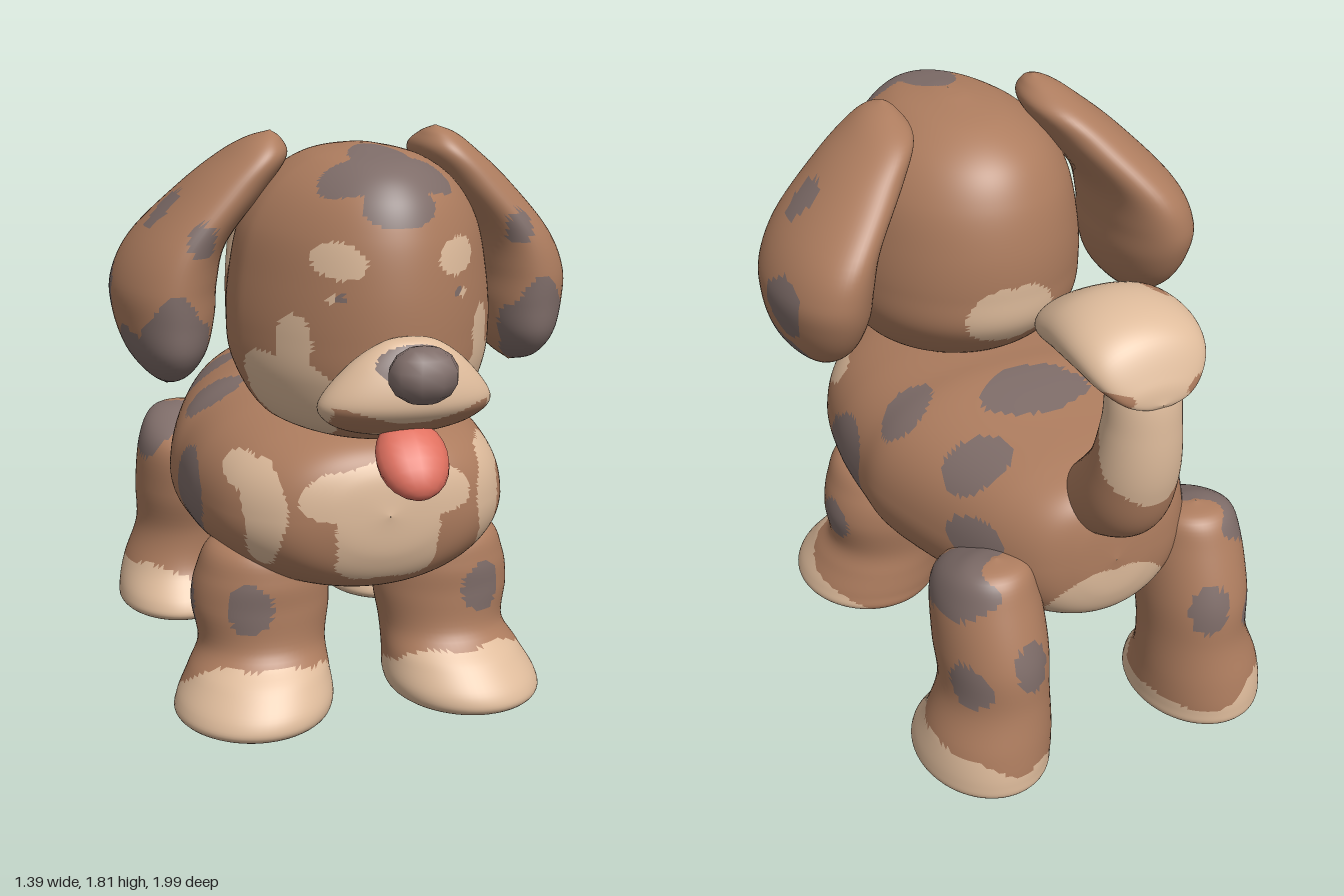
import * as THREE from 'three';

const mat = (name, color) => {
  const m = new THREE.MeshStandardMaterial({ color });
  m.name = name;
  return m;
};
const coat = [mat('brown fur', 0xae7d5f), mat('tan fur', 0xdfbc9c), mat('grey fur', 0x7f6d69)];
const pink = mat('tongue pink', 0xe0705f);
const BROWN = 0, TAN = 1, GREY = 2;

// Gentle waviness that keeps patch edges irregular
const wobble = (x, y, z) => Math.sin(27 * x + 9 * y) * 0.4 + Math.sin(33 * y + 13 * z) * 0.4 + Math.sin(29 * z - 17 * x) * 0.4;

// Patch rule: spots are [colour, x, y, z, rx, ry, rz], mirrored in x
const spots = (list, base = () => BROWN) => (x, y, z) => {
  const ax = Math.abs(x);
  for (const [c, sx, sy, sz, rx, ry, rz] of list) {
    const d = ((ax - sx) / rx) ** 2 + ((y - sy) / ry) ** 2 + ((z - sz) / rz) ** 2;
    if (d < 1 + 0.28 * wobble(ax, y, z)) return c;
  }
  return base(x, y, z);
};

// Smooth loft through rows [x, y, z, radius in x, other radius, tilt in degrees].
// Tilt 0 gives upright sections, tilt 90 gives level sections; power below 1 squares the upper half.
function loft(rows, { tilt = 90, side = 1, steps = 60, ring = 64, power = 1, warp } = {}) {
  const path = new THREE.CatmullRomCurve3(rows.map(r => new THREE.Vector3(r[0], r[1], r[2])), false, 'catmullrom');
  const size = new THREE.CatmullRomCurve3(rows.map(r => new THREE.Vector3(r[3], r[4], r[5] ?? tilt)), false, 'catmullrom');
  const pos = [], idx = [], p = new THREE.Vector3(), s = new THREE.Vector3();
  for (let i = 0; i <= steps; i++) {
    path.getPoint(i / steps, p);
    size.getPoint(i / steps, s);
    const t = THREE.MathUtils.degToRad(s.z);
    for (let j = 0; j < ring; j++) {
      const a = j / ring * Math.PI * 2, c = Math.cos(a), h = Math.sin(a);
      const u = (h > 0 ? Math.sign(c) * Math.abs(c) ** power : c) * Math.max(s.x, 0.001);
      const v = (h > 0 ? h ** power : h) * Math.max(s.y, 0.001);
      const q = new THREE.Vector3(p.x + u, p.y + v * Math.cos(t), p.z + v * Math.sin(t));
      if (warp) warp(q);
      pos.push(q.x * side, q.y, q.z);
      if (i < steps) {
        const k = i * ring + j, n = i * ring + (j + 1) % ring;
        idx.push(k, n, k + ring, n, n + ring, k + ring);
      }
    }
  }
  // Face the surface outwards
  let volume = 0;
  const V = i => new THREE.Vector3(pos[3 * i], pos[3 * i + 1], pos[3 * i + 2]).sub(path.points[0]);
  for (let i = 0; i < idx.length; i += 3) volume += V(idx[i]).dot(V(idx[i + 1]).cross(V(idx[i + 2])));
  if (volume < 0) for (let i = 0; i < idx.length; i += 3) [idx[i], idx[i + 1]] = [idx[i + 1], idx[i]];
  const g = new THREE.BufferGeometry();
  g.setAttribute('position', new THREE.Float32BufferAttribute(pos, 3));
  g.setIndex(idx);
  g.computeVertexNormals();
  return g;
}

// Sort triangles into one geometry group per fur colour
function furMesh(name, g, rule) {
  const p = g.attributes.position, idx = g.index.array, bins = coat.map(() => []);
  for (let i = 0; i < idx.length; i += 3) {
    const t = [idx[i], idx[i + 1], idx[i + 2]];
    const mid = f => (f(t[0]) + f(t[1]) + f(t[2])) / 3;
    bins[rule(mid(k => p.getX(k)), mid(k => p.getY(k)), mid(k => p.getZ(k)))].push(...t);
  }
  g.setIndex(bins.flat());
  let start = 0;
  bins.forEach((b, i) => { if (b.length) g.addGroup(start, b.length, i); start += b.length; });
  const m = new THREE.Mesh(g, coat);
  m.name = name;
  return m;
}

export function createModel() {
  const dog = new THREE.Group();
  dog.name = 'puppy';
  const add = (name, geo, rule) => dog.add(furMesh(name, geo, rule));

  // Body, from chest to rump, slightly narrower above
  add('body', loft([
    [0, 0.75, 0.655, 0, 0], [0, 0.745, 0.635, 0.18, 0.13], [0, 0.735, 0.57, 0.32, 0.215], [0, 0.725, 0.42, 0.43, 0.262],
    [0, 0.725, 0.2, 0.48, 0.29], [0, 0.72, 0, 0.485, 0.31], [0, 0.725, -0.15, 0.48, 0.315], [0, 0.73, -0.4, 0.41, 0.287],
    [0, 0.735, -0.6, 0.33, 0.262], [0, 0.745, -0.72, 0.24, 0.22], [0, 0.75, -0.77, 0.13, 0.14], [0, 0.75, -0.785, 0, 0],
  ], { tilt: 0, power: 0.82, steps: 128, ring: 120, warp: q => { q.x *= 1 - 0.18 * (q.y - 0.7); } }), spots([
    [TAN, 0, 0.81, 0.62, 0.235, 0.1, 0.25], [TAN, 0, 0.68, 0.62, 0.17, 0.14, 0.25],
    [TAN, 0.335, 0.76, 0.5, 0.06, 0.16, 0.13], [TAN, 0.38, 0.86, 0.42, 0.06, 0.06, 0.1],
    [TAN, 0.42, 0.48, -0.16, 0.14, 0.04, 0.08], [TAN, 0, 0.6, -0.74, 0.2, 0.11, 0.12],
    [GREY, 0.47, 0.7, 0.13, 0.15, 0.14, 0.14], [GREY, 0, 1.03, -0.25, 0.17, 0.1, 0.12],
    [GREY, 0.29, 0.94, -0.43, 0.12, 0.1, 0.1], [GREY, 0.34, 0.94, -0.08, 0.11, 0.09, 0.09],
    [GREY, 0.36, 0.76, -0.56, 0.1, 0.09, 0.12],
  ]));

  // Head, narrowing towards the face
  add('head', loft([
    [0, 0.95, 0.42, 0, 0], [0, 0.965, 0.41, 0.16, 0.18], [0, 1.02, 0.37, 0.295, 0.33], [0, 1.15, 0.335, 0.37, 0.43],
    [0, 1.28, 0.33, 0.385, 0.45], [0, 1.42, 0.33, 0.372, 0.45], [0, 1.56, 0.335, 0.34, 0.425], [0, 1.67, 0.345, 0.27, 0.37],
    [0, 1.742, 0.36, 0.17, 0.265], [0, 1.773, 0.36, 0.06, 0.1], [0, 1.78, 0.36, 0, 0],
  ], { steps: 110, ring: 140, warp: q => { q.x *= 1 - 0.15 * Math.max(0, (q.z - 0.4) / 0.38); } }), spots([
    [GREY, 0.168, 1.405, 0.71, 0.012, 0.016, 0.08], [TAN, 0.188, 1.4, 0.71, 0.016, 0.016, 0.08],
    [TAN, 0.165, 1.505, 0.7, 0.065, 0.055, 0.12],
    [TAN, 0.28, 1.11, 0.58, 0.24, 0.12, 0.19], [TAN, 0.3, 1.25, 0.64, 0.07, 0.1, 0.09],
    [TAN, 0, 1.2, -0.1, 0.13, 0.12, 0.1],
    [GREY, 0, 1.7, 0.6, 0.19, 0.07, 0.11], [GREY, 0, 1.75, 0.5, 0.08, 0.1, 0.13], [GREY, 0, 1.64, 0.69, 0.11, 0.06, 0.1],
  ]));

  // Muzzle with a brown mouth
  add('muzzle', loft([
    [0, 1.31, 0.8, 0, 0], [0, 1.295, 0.8, 0.08, 0.04], [0, 1.23, 0.785, 0.17, 0.095], [0, 1.13, 0.765, 0.245, 0.13],
    [0, 1.07, 0.74, 0.215, 0.105], [0, 1.03, 0.71, 0.13, 0.065], [0, 1.01, 0.7, 0, 0],
  ]), spots([[GREY, 0, 1.25, 0.87, 0.11, 0.06, 0.06]], (x, y, z) => {
    const ax = Math.abs(x);
    return y < 1.085 + 0.22 * ax + 0.012 * wobble(ax, y, z) && y > 1.04 && ax < 0.22 && z > 0.72 ? BROWN : TAN;
  }));

  // Nose
  const nose = new THREE.Mesh(new THREE.SphereGeometry(1, 10, 7), coat[GREY]);
  nose.name = 'nose';
  nose.scale.set(0.1, 0.08, 0.082);
  nose.position.set(0, 1.23, 0.918);
  dog.add(nose);

  // Tongue, hanging forward
  const tongue = new THREE.Mesh(new THREE.SphereGeometry(1, 16, 12), pink);
  tongue.name = 'tongue';
  tongue.scale.set(0.103, 0.125, 0.065);
  tongue.position.set(0, 0.975, 0.835);
  tongue.rotation.x = -0.8;
  dog.add(tongue);

  for (const side of [1, -1]) {
    const label = side > 0 ? 'left' : 'right';

    // Floppy ears
    add(label + 'Ear', loft([
      [0.25, 1.815, 0.28, 0, 0], [0.265, 1.79, 0.26, 0.05, 0.08], [0.29, 1.74, 0.225, 0.095, 0.16], [0.37, 1.65, 0.19, 0.12, 0.21],
      [0.495, 1.5, 0.14, 0.135, 0.268], [0.54, 1.38, 0.13, 0.15, 0.28], [0.545, 1.28, 0.14, 0.145, 0.265],
      [0.545, 1.18, 0.165, 0.115, 0.225], [0.545, 1.11, 0.18, 0.062, 0.14], [0.545, 1.065, 0.17, 0, 0],
    ], { side }), spots([
      [GREY, 0.55, 1.22, 0.3, 0.1, 0.17, 0.17], [GREY, 0.62, 1.16, 0.2, 0.09, 0.13, 0.16],
      [GREY, 0.7, 1.33, 0.04, 0.16, 0.1, 0.1],
      [GREY, 0.56, 1.59, 0.19, 0.1, 0.065, 0.065], [GREY, 0.475, 1.52, 0.39, 0.045, 0.05, 0.06],
    ]));

    // Front legs with pale paws
    add(label + 'FrontLeg', loft([
      [0.28, 0.62, 0.28, 0, 0], [0.285, 0.59, 0.28, 0.15, 0.15], [0.288, 0.5, 0.27, 0.197, 0.192], [0.29, 0.4, 0.265, 0.212, 0.195],
      [0.29, 0.28, 0.28, 0.195, 0.19], [0.31, 0.2, 0.32, 0.215, 0.23], [0.33, 0.12, 0.35, 0.238, 0.26],
      [0.345, 0.07, 0.35, 0.222, 0.25], [0.35, 0.035, 0.34, 0.13, 0.15], [0.35, 0.005, 0.33, 0, 0],
    ], { side }), spots([
      [GREY, 0.37, 0.42, 0.46, 0.07, 0.08, 0.09], [GREY, 0.5, 0.4, 0.23, 0.08, 0.08, 0.07],
    ], (x, y, z) => y > 0.06 && y < Math.min(0.235, 0.06 + 0.45 * (z - 0.06)) + 0.02 * wobble(x, y, z) ? TAN : BROWN));

    // Hind legs with pale paws
    add(label + 'HindLeg', loft([
      [0.33, 0.785, -0.67, 0, 0], [0.335, 0.76, -0.665, 0.1, 0.09], [0.34, 0.67, -0.615, 0.15, 0.185], [0.34, 0.5, -0.645, 0.163, 0.212],
      [0.34, 0.35, -0.67, 0.16, 0.195], [0.36, 0.22, -0.675, 0.185, 0.21], [0.37, 0.12, -0.645, 0.2, 0.248],
      [0.37, 0.07, -0.64, 0.19, 0.24], [0.37, 0.035, -0.65, 0.11, 0.14], [0.37, 0.005, -0.66, 0, 0],
    ], { side }), spots([
      [GREY, 0.42, 0.71, -0.62, 0.16, 0.1, 0.16], [GREY, 0.46, 0.44, -0.77, 0.12, 0.07, 0.07],
      [GREY, 0.28, 0.5, -0.86, 0.07, 0.08, 0.07],
    ], (x, y, z) => {
      const outer = Math.abs(x) - 0.37;
      return y > 0.06 && y < 0.19 + 0.25 * outer + 0.1 * (z + 0.65) + 0.02 * wobble(x, y, z) ? TAN : BROWN;
    }));
  }

  // Tail stalk, pale behind
  add('tail', loft([
    [0, 0.88, -0.64, 0.11, 0.11, 45], [0, 1.0, -0.79, 0.13, 0.14, 55], [0, 1.13, -0.86, 0.125, 0.125, 70],
    [0, 1.28, -0.885, 0.11, 0.108, 85], [0, 1.42, -0.88, 0.09, 0.09, 90], [0, 1.45, -0.87, 0, 0, 90],
  ]), (x, y, z) => y + 1.5 * (-0.87 - z) + 0.025 * wobble(x, y, z) > 1.2 ? TAN : BROWN);

  // Feathered tail tip, curling forward
  add('tailTip', loft([
    [0, 1.385, -0.99, 0, 0], [0, 1.41, -0.975, 0.1, 0.04], [0, 1.465, -0.92, 0.165, 0.085], [0, 1.495, -0.82, 0.19, 0.1],
    [0, 1.49, -0.69, 0.187, 0.105], [0, 1.455, -0.57, 0.165, 0.08], [0, 1.435, -0.5, 0.1, 0.045], [0, 1.435, -0.478, 0, 0],
  ], { tilt: 0 }), spots([[BROWN, 0, 1.37, -0.66, 0.15, 0.05, 0.14], [BROWN, 0.13, 1.41, -0.93, 0.07, 0.03, 0.06]],
    (x, y, z) => ((x + 0.12) / 0.03) ** 2 + ((z + 0.67) / 0.1) ** 2 < 1 && y > 1.5 ? BROWN : TAN));

  return dog;
}
